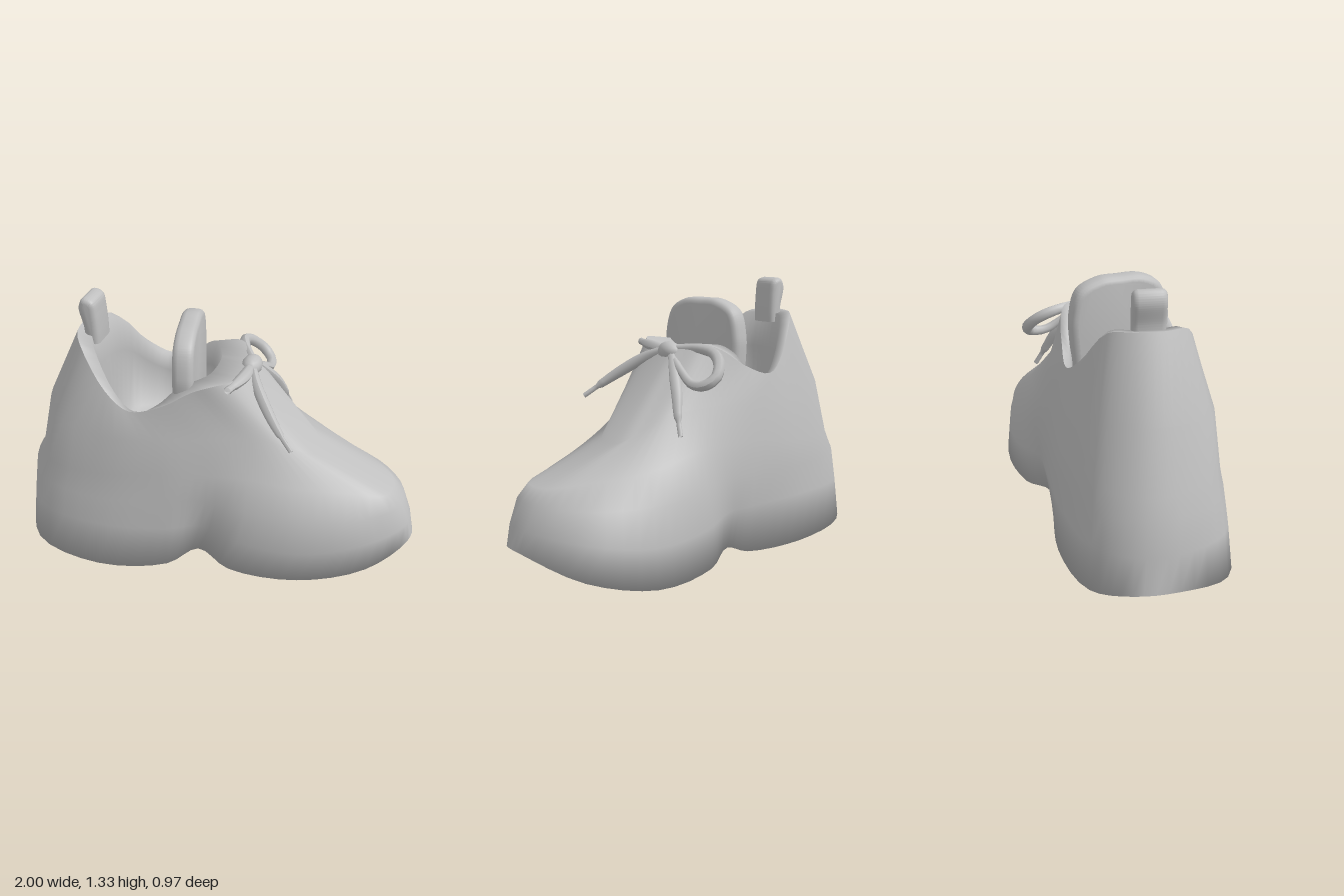
import * as THREE from 'three';
import { toCreasedNormals } from 'three/addons/utils/BufferGeometryUtils.js';

const M = 4;          // samples between stations
const S = 9;          // stations per side
const N = 2 * S * M;  // samples per ring

// A closed ring from stations [x, y, right z, left z], heel to toe
function ring(stations) {
  const right = stations.map(([x, y, r]) => new THREE.Vector3(x, y, r));
  const left = stations.map(([x, y, , l]) => new THREE.Vector3(x, y, l)).reverse();
  const curve = new THREE.CatmullRomCurve3([...right, ...left], true, 'centripetal');
  return Array.from({ length: N }, (_, j) => curve.getPoint(j / N));
}

// Smooth skin over a stack of rings, with one ring closed by strips from right to left
function loft(rings, closed, faceUp) {
  const index = [];
  const wrap = (i) => (i + N) % N;
  for (let k = 0; k < rings.length - 1; k++) {
    for (let j = 0; j < N; j++) {
      const a = k * N + j, b = k * N + wrap(j + 1);
      index.push(a, a + N, b, b, a + N, b + N);
    }
  }
  const last = (2 * S - 1) * M;
  for (let j = -M / 2; j < last / 2; j++) {
    const [a, b, c, d] = [j, j + 1, last - j, last - j - 1].map((i) => closed * N + wrap(i));
    if (faceUp) index.push(a, c, b, b, c, d);
    else index.push(a, b, c, b, d, c);
  }
  const g = new THREE.BufferGeometry().setFromPoints(rings.flat());
  g.setIndex(index);
  g.computeVertexNormals();
  return g;
}

// Round-cornered plate, its outline given in x and y
function plate(points, depth, bevel) {
  const shape = new THREE.Shape();
  shape.moveTo(...points[0]);
  shape.splineThru(points.slice(1).map((p) => new THREE.Vector2(...p)));
  const g = new THREE.ExtrudeGeometry(shape, {
    depth: depth - 2 * bevel, bevelSize: bevel, bevelThickness: bevel,
    bevelOffset: -bevel, bevelSegments: 3, curveSegments: 24,
  });
  g.translate(0, 0, bevel - depth / 2);
  return toCreasedNormals(g, 0.8);
}

export function createModel() {
  const model = new THREE.Group();
  const grey = new THREE.MeshStandardMaterial({ color: 0xbfbfbf });
  grey.name = 'grey';
  grey.side = THREE.DoubleSide;

  const add = (name, geometry) => {
    const mesh = new THREE.Mesh(geometry, grey);
    mesh.name = name;
    model.add(mesh);
    return mesh;
  };

  // Shoe wall and sole, from the ground up to the collar
  const soleEdge = ring([
    [-.988, .07, -.04, .17], [-.86, .03, -.21, .42], [-.5, .005, -.31, .485],
    [-.16, .01, -.3, .38], [-.03, .055, -.3, .27], [.15, .018, -.41, .325],
    [.5, .015, -.485, .29], [.82, .09, -.4, .18], [.988, .18, -.12, .01]]);
  const lowWall = ring([
    [-.965, .25, -.03, .17], [-.84, .25, -.2, .4], [-.5, .25, -.3, .46],
    [-.16, .25, -.33, .39], [0, .25, -.35, .31], [.2, .22, -.44, .335],
    [.5, .2, -.467, .305], [.8, .25, -.4, .19], [.965, .28, -.13, .02]]);
  const midWall = ring([
    [-.945, .42, -.02, .17], [-.82, .41, -.19, .38], [-.5, .4, -.3, .44],
    [-.16, .42, -.34, .38], [.03, .42, -.37, .32], [.23, .4, -.43, .31],
    [.5, .38, -.44, .275], [.76, .38, -.34, .17], [.92, .39, -.14, .03]]);
  const toeTop = ring([
    [-.9, .5, -.01, .16], [-.78, .52, -.18, .37], [-.48, .53, -.29, .41],
    [-.18, .57, -.32, .37], [.03, .57, -.34, .31], [.22, .56, -.355, .26],
    [.45, .51, -.34, .2], [.69, .48, -.25, .11], [.86, .455, -.13, .03]]);
  const instep = ring([
    [-.835, .8, 0, .15], [-.73, .78, -.15, .345], [-.47, .75, -.25, .395],
    [-.2, .75, -.29, .355], [0, .76, -.29, .285], [.15, .75, -.265, .215],
    [.27, .73, -.23, .15], [.38, .67, -.18, .09], [.48, .61, -.13, .02]]);
  const collar = ring([
    [-.665, 1.16, .02, .15], [-.6, 1.14, -.09, .26], [-.46, .96, -.19, .325],
    [-.34, .88, -.24, .335], [-.18, .93, -.24, .315], [-.05, 1.01, -.23, .28],
    [.04, 1.045, -.2, .255], [.1, 1.045, -.14, .2], [.14, 1.03, -.08, .1]]);
  add('upperAndSole', loft([soleEdge, lowWall, midWall, toeTop, instep, collar], 0, false));

  // Padded lining and footbed inside the collar
  const inset = (back, front, side, height) => collar.map((p) => new THREE.Vector3(
    -.27 + (p.x + .27) * (p.x > -.27 ? front : back), height(p.y), .04 + (p.z - .04) * side));
  add('lining', loft([
    collar,
    inset(.82, .62, .9, (y) => y - .015),
    inset(.76, .56, .84, (y) => y * .6 + .27),
    inset(.78, .54, .8, () => .6)], 3, true));

  // Tongue
  const tongue = add('tongue', plate([
    [-.2, .6], [-.24, .95], [-.24, 1.08], [-.2, 1.19], [-.11, 1.24], [0, 1.245],
    [.1, 1.24], [.2, 1.19], [.235, 1.08], [.235, .95], [.2, .6]], .1, .03));
  tongue.rotation.y = Math.PI / 2 + .2;
  tongue.position.set(-.145, 0, .03);

  // Heel pull tab
  const tab = add('pullTab', plate([
    [-.635, 1.1], [-.635, 1.18], [-.655, 1.27], [-.64, 1.32], [-.61, 1.33],
    [-.575, 1.31], [-.565, 1.25], [-.56, 1.16], [-.56, 1.1]], .15, .025));
  tab.position.z = .085;

  // Laces: tubes that taper toward their tips
  const lace = (name, points, radius, tip) => {
    const curve = new THREE.CatmullRomCurve3(points.map((p) => new THREE.Vector3(...p)));
    const steps = 24, sides = 8;
    const g = new THREE.TubeGeometry(curve, steps, radius, sides);
    const pos = g.attributes.position, v = new THREE.Vector3();
    for (let i = 0; i <= steps; i++) {
      const t = i / steps, c = curve.getPointAt(t);
      const k = t > .8 ? tip : .8 + .35 * Math.sin(Math.PI * t / .8);
      for (let j = 0; j <= sides; j++) {
        const n = i * (sides + 1) + j;
        v.fromBufferAttribute(pos, n).sub(c).multiplyScalar(k).add(c);
        pos.setXYZ(n, v.x, v.y, v.z);
      }
    }
    g.computeVertexNormals();
    add(name, g);
  };
  lace('leftLaceEnd', [[.15, 1.01, -.03], [.2, .97, .06], [.28, .9, .15], [.35, .84, .21], [.43, .775, .26]], .024, .5);
  lace('rightLaceEnd', [[.15, 1, -.09], [.18, .93, -.15], [.22, .83, -.23], [.25, .74, -.28], [.27, .65, -.33]], .024, .5);
  lace('leftLace', [[.14, 1.01, -.03], [.14, 1.015, .08], [.11, 1.025, .23]], .026, .7);
  lace('laceLoop', [[.13, 1.02, -.09], [.07, 1.025, -.18], [.04, 1.01, -.27], [.06, .97, -.34],
    [.11, .91, -.38], [.155, .875, -.35], [.17, .875, -.28], [.17, .93, -.19], [.15, .99, -.09]], .024, .8);

  // Knot
  const knot = add('knot', new THREE.SphereGeometry(1, 12, 8));
  knot.scale.set(.05, .048, .068);
  knot.position.set(.14, 1.005, -.055);

  return model;
}
